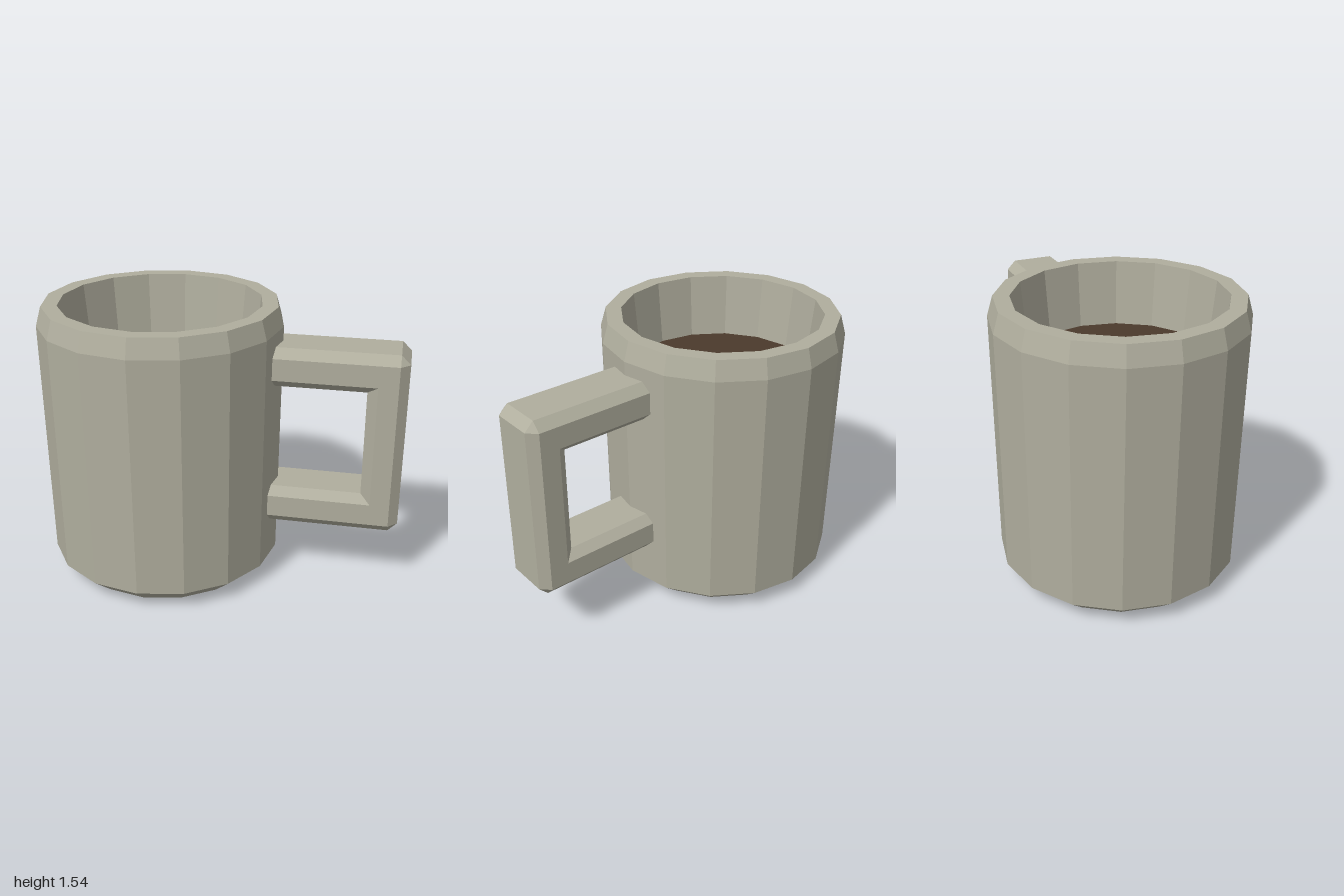
import * as THREE from 'three';

const SIDES = 16;
const MUG_X = -0.335;

// Give every face its own normal for a faceted look
function faceted(geometry) {
  const g = geometry.index ? geometry.toNonIndexed() : geometry;
  g.computeVertexNormals();
  return g;
}

// Square handle: a chamfered section carried round two cut outer corners
function handleGeometry() {
  const face = 0.115, side = 0.163;
  // Each station: outer edge, outer bevel, inner bevel, inner edge as [x, y]
  const upper = [
    [[0.25, 1.36], [0.25, 1.31], [0.25, 1.19], [0.25, 1.145]],
    [[0.95, 1.36], [0.95, 1.31], [0.845, 1.19], [0.79, 1.145]],
    [[1.0, 1.31], [0.95, 1.31], [0.845, 1.19], [0.79, 1.145]],
  ];
  const midY = 0.85;
  const lower = upper.map(s => s.map(([x, y]) => [x, 2 * midY - y])).reverse();
  const rings = [...upper, ...lower].map(([o, ob, ib, i]) => [
    [...o, face], [...ob, side], [...ib, side], [...i, face],
    [...i, -face], [...ib, -side], [...ob, -side], [...o, -face],
  ].map(p => new THREE.Vector3(...p)));

  const pos = [];
  const tri = (a, b, c) => {
    if (new THREE.Triangle(a, b, c).getArea() < 1e-7) return;
    for (const p of [a, b, c]) pos.push(p.x, p.y, p.z);
  };
  for (let r = 0; r < rings.length - 1; r++) {
    for (let k = 0; k < 8; k++) {
      const n = (k + 1) % 8;
      const a = rings[r][k], b = rings[r][n], c = rings[r + 1][n], d = rings[r + 1][k];
      tri(a, b, c);
      tri(a, c, d);
    }
  }
  // End caps, buried in the mug wall
  const first = rings[0], last = rings[rings.length - 1];
  for (let k = 1; k < 7; k++) {
    tri(first[0], first[k + 1], first[k]);
    tri(last[0], last[k], last[k + 1]);
  }
  const g = new THREE.BufferGeometry();
  g.setAttribute('position', new THREE.Float32BufferAttribute(pos, 3));
  return faceted(g);
}

export function createModel() {
  const group = new THREE.Group();
  const stoneware = new THREE.MeshStandardMaterial({ color: 0xb0ae9e });
  stoneware.name = 'stoneware';
  const coffee = new THREE.MeshStandardMaterial({ color: 0x4b3a2c });
  coffee.name = 'coffee';

  const add = (name, geometry, material, x = 0, y = 0) => {
    const mesh = new THREE.Mesh(geometry, material);
    mesh.name = name;
    mesh.position.set(x, y, 0);
    group.add(mesh);
    return mesh;
  };

  // Mug body: base, outer wall, rim, inner wall and floor
  const profile = [
    [0, 0], [0.53, 0], [0.65, 0.105], [0.665, 1.435], [0.635, 1.54],
    [0.55, 1.54], [0.515, 1.18], [0.5, 0.13], [0, 0.13],
  ].map(p => new THREE.Vector2(...p));
  add('mugBody', faceted(new THREE.LatheGeometry(profile, SIDES)), stoneware, MUG_X);

  // Drink surface
  const drink = new THREE.CircleGeometry(0.517, SIDES);
  drink.rotateX(-Math.PI / 2);
  add('drinkSurface', drink, coffee, MUG_X, 1.19);

  // Handle
  add('handle', handleGeometry(), stoneware);

  return group;
}
